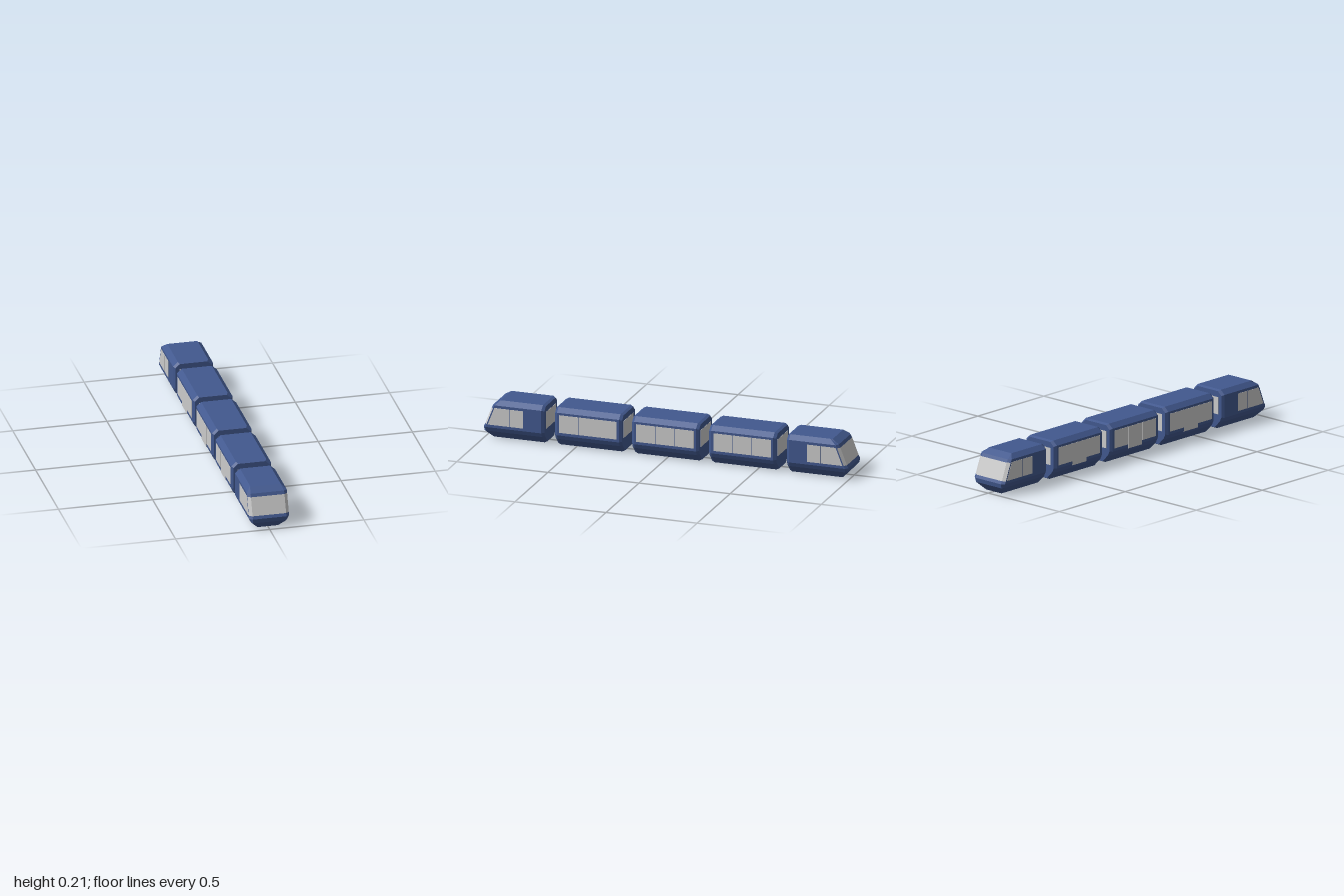
import * as THREE from 'three';

const blue = new THREE.MeshStandardMaterial({ color: 0x42598f, flatShading: true });
const grey = new THREE.MeshStandardMaterial({ color: 0xcccccc, flatShading: true });

// Half cross-section from floor to roof: [x, y, nose z]
const SECTION = [
  [0.054, 0, 0.957], [0.095, 0.042, 0.996], [0.106, 0.065, 1.0], [0.106, 0.08, 0.992],
  [0.106, 0.172, 0.956], [0.106, 0.188, 0.947], [0.08, 0.211, 0.91],
];
const N = SECTION.length;
const GLASS_ROW = 3;

function add(group, name, geometry, material, x = 0, y = 0, z = 0) {
  const mesh = new THREE.Mesh(geometry, material);
  mesh.name = name;
  mesh.position.set(x, y, z);
  group.add(mesh);
  return mesh;
}

// Full closed ring: up the +x side, down the -x side
function ring(pointAt) {
  const half = SECTION.map(pointAt);
  return [...half, ...half.map(([x, y, z]) => [-x, y, z]).reverse()];
}

// Bevelled end ring, slightly smaller than the body
const bevelRing = z => ring(([x, y]) => [x * 0.91, 0.105 + (y - 0.105) * 0.94, z]);
const fullRing = z => ring(([x, y]) => [x, y, z]);

function meshGeometry(positions) {
  const geometry = new THREE.BufferGeometry();
  geometry.setAttribute('position', new THREE.Float32BufferAttribute(positions, 3));
  geometry.computeVertexNormals();
  return geometry;
}

// Skins rings from back to front; a glazed nose puts its window band in a second mesh
function addShell(group, rings, glazedNose) {
  const body = [], glass = [];
  const quad = (out, a, b, c, d) => out.push(...a, ...b, ...c, ...a, ...c, ...d);
  const last = rings.length - 1;
  for (let r = 0; r < last; r++) {
    for (let i = 0; i < 2 * N; i++) {
      const j = (i + 1) % (2 * N);
      const glazed = glazedNose && r === last - 1 && (i === GLASS_ROW || i === 2 * N - 2 - GLASS_ROW);
      quad(glazed ? glass : body, rings[r][i], rings[r][j], rings[r + 1][j], rings[r + 1][i]);
    }
  }
  const back = rings[0], front = rings[last];
  for (let i = 0; i < N - 1; i++) {
    const m = 2 * N - 1 - i;
    quad(body, back[m], back[m - 1], back[i + 1], back[i]);
    quad(glazedNose && i === GLASS_ROW ? glass : body, front[i], front[i + 1], front[m - 1], front[m]);
  }
  add(group, 'body', meshGeometry(body), blue);
  if (glazedNose) add(group, 'windshield', meshGeometry(glass), grey);
}

function addEndWindow(group, z) {
  add(group, 'endWindow', new THREE.BoxGeometry(0.15, 0.092, 0.003), grey, 0, 0.127, z);
}

// Middle carriage with three panes per side
function createCarriage(z) {
  const car = new THREE.Group();
  car.name = 'carriage';
  const h = 0.184;
  addShell(car, [bevelRing(-h), fullRing(-h + 0.014), fullRing(h - 0.014), bevelRing(h)], false);
  for (const side of [1, -1]) {
    for (const k of [-1, 0, 1]) {
      // The middle pane of the right-hand row reaches down as a door
      const bottom = side === -1 && k === 0 ? 0.058 : 0.08;
      add(car, 'sideWindow', new THREE.BoxGeometry(0.003, 0.176 - bottom, 0.1035), grey,
        side * 0.1055, (0.176 + bottom) / 2, k * 0.106);
    }
    addEndWindow(car, side * h);
  }
  car.position.z = z;
  return car;
}

// End carriage with a sloping nose
function createCab() {
  const cab = new THREE.Group();
  cab.name = 'cab';
  const back = 0.665;
  addShell(cab, [
    bevelRing(back), fullRing(back + 0.014),
    ring(([x, y, z]) => [x, y, z - 0.012]),
    ring(([x, y, z]) => [Math.min(x, 0.089), y, z]),
  ], true);
  addEndWindow(cab, back);
  // Side panes; the front one follows the slope of the windshield
  const panes = [
    [[0.78, 0.08], [0.852, 0.08], [0.852, 0.174], [0.78, 0.174]],
    [[0.855, 0.08], [0.973, 0.08], [0.936, 0.174], [0.855, 0.174]],
  ];
  for (const corners of panes) {
    const shape = new THREE.Shape(corners.map(([z, y]) => new THREE.Vector2(-z, y)));
    const geometry = new THREE.ExtrudeGeometry(shape, { depth: 0.003, bevelEnabled: false });
    geometry.rotateY(Math.PI / 2);
    for (const x of [0.104, -0.107]) add(cab, 'cabSideWindow', geometry, grey, x);
  }
  return cab;
}

export function createModel() {
  const train = new THREE.Group();
  train.name = 'train';
  const frontCab = createCab();
  const rearCab = createCab();
  rearCab.rotation.y = Math.PI;
  train.add(frontCab, rearCab);
  for (const z of [0.423, 0, -0.423]) train.add(createCarriage(z));
  return train;
}
